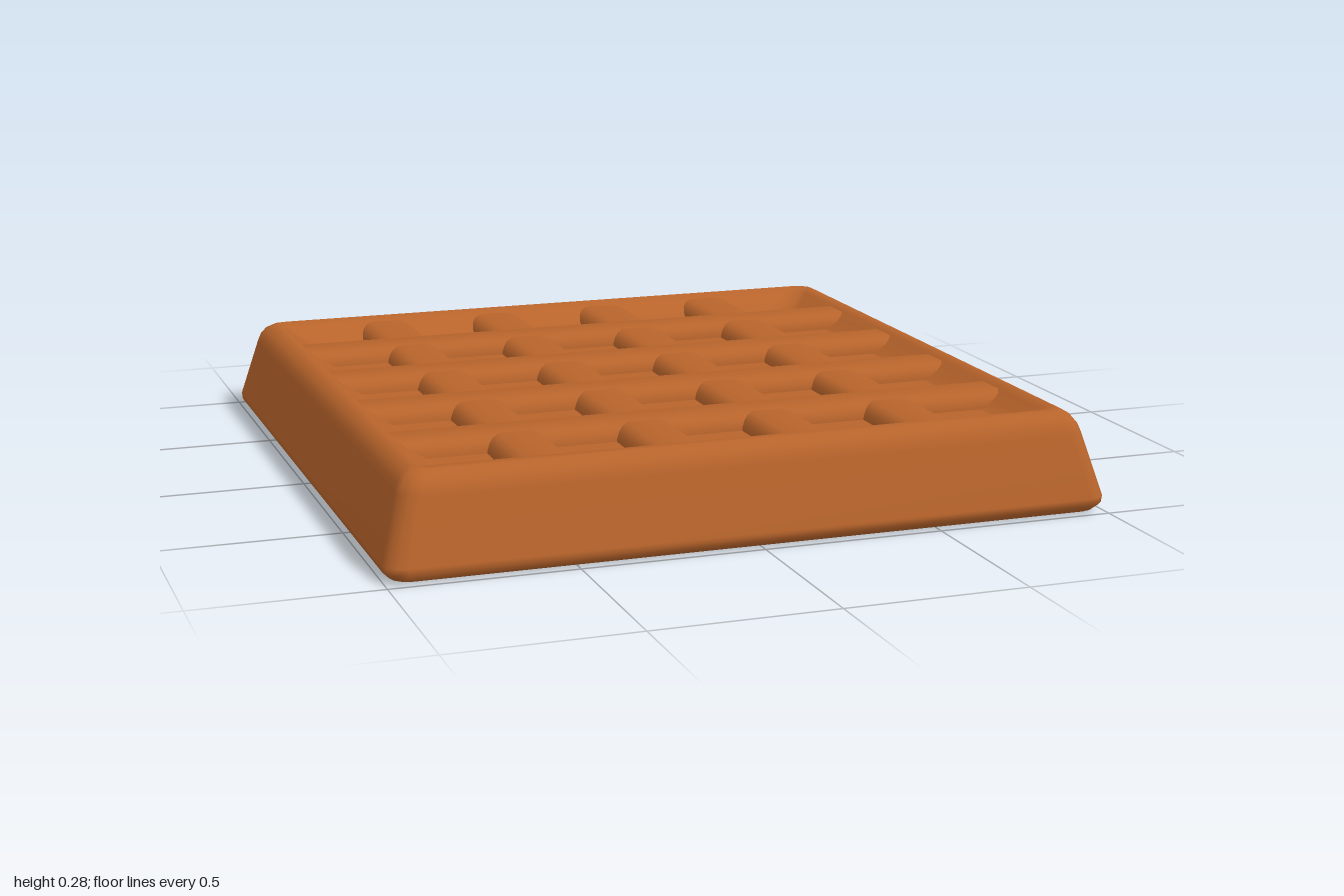
import * as THREE from 'three';
import { toCreasedNormals } from 'three/addons/utils/BufferGeometryUtils.js';

const FLOOR = 0.217;

// Rounded square of half size h and corner radius r at height y
function ring(h, y, r) {
  const pts = [];
  for (let c = 0; c < 4; c++) {
    const a0 = c * Math.PI / 2;
    const sx = c === 0 || c === 3 ? 1 : -1, sz = c < 2 ? 1 : -1;
    for (let i = 0; i <= 3; i++) {
      const a = a0 + i / 3 * Math.PI / 2;
      pts.push([sx * (h - r) + r * Math.cos(a), y, sz * (h - r) + r * Math.sin(a)]);
    }
  }
  return pts;
}

// Tray: rings from the underside centre, over the rim, to the floor centre
function trayGeometry() {
  const profile = [
    [0.3, 0, 0.02], [0.95, 0, 0.03], [0.98, 0.006, 0.05], [0.998, 0.025, 0.055], [1, 0.045, 0.055],
    [0.953, 0.215, 0.055], [0.945, 0.238, 0.055], [0.93, 0.258, 0.05], [0.91, 0.27, 0.04], [0.89, 0.275, 0.04],
    [0.87, 0.263, 0.05], [0.84, 0.241, 0.06], [0.8, FLOOR, 0.07],
    [0.79, FLOOR, 0.07], [0.3, FLOOR, 0.02],
  ];
  const n = 16, pos = [], idx = [];
  profile.forEach(p => ring(...p).forEach(v => pos.push(...v)));
  for (let k = 0; k < profile.length - 1; k++) {
    for (let i = 0; i < n; i++) {
      const a = k * n + i, b = k * n + (i + 1) % n;
      idx.push(a, a + n, b, b, a + n, b + n);
    }
  }
  const bottom = pos.length / 3, top = bottom + 1, last = (profile.length - 1) * n;
  pos.push(0, 0, 0, 0, FLOOR, 0);
  for (let i = 0; i < n; i++) {
    const j = (i + 1) % n;
    idx.push(bottom, i, j, top, last + j, last + i);
  }
  const g = new THREE.BufferGeometry();
  g.setAttribute('position', new THREE.Float32BufferAttribute(pos, 3));
  g.setIndex(idx);
  g.computeVertexNormals();
  return g;
}

// Long bar along z with sloping shoulders
function barGeometry(topY) {
  const h = topY - FLOOR;
  const half = [[0.087, -0.02], [0.086, h * 0.15], [0.077, h * 0.58], [0.064, h * 0.86], [0.046, h]];
  const pts = [...half, ...half.map(([x, y]) => [-x, y]).reverse()];
  const shape = new THREE.Shape(pts.map(([x, y]) => new THREE.Vector2(x, y)));
  const g = new THREE.ExtrudeGeometry(shape, { depth: 1.77, bevelEnabled: false });
  g.translate(0, FLOOR, -0.885);
  return toCreasedNormals(g, 0.9);
}

export function createModel() {
  const group = new THREE.Group();
  const mat = new THREE.MeshStandardMaterial({ color: 0xb8642b });
  mat.name = 'baked brown';
  const add = (name, geo) => {
    const m = new THREE.Mesh(geo, mat);
    m.name = name;
    group.add(m);
    return m;
  };

  add('tray', trayGeometry());

  // Grid of ridges, the crosswise ones slightly taller
  const lengthwise = barGeometry(0.26), crosswise = barGeometry(0.262);
  for (let i = 0; i < 4; i++) {
    add('lengthwiseRidge', lengthwise).position.x = -0.55 + i * 0.358;
    const bar = add('crosswiseRidge', crosswise);
    bar.rotation.y = Math.PI / 2;
    bar.position.z = -0.56 + i * 0.366;
  }
  return group;
}
